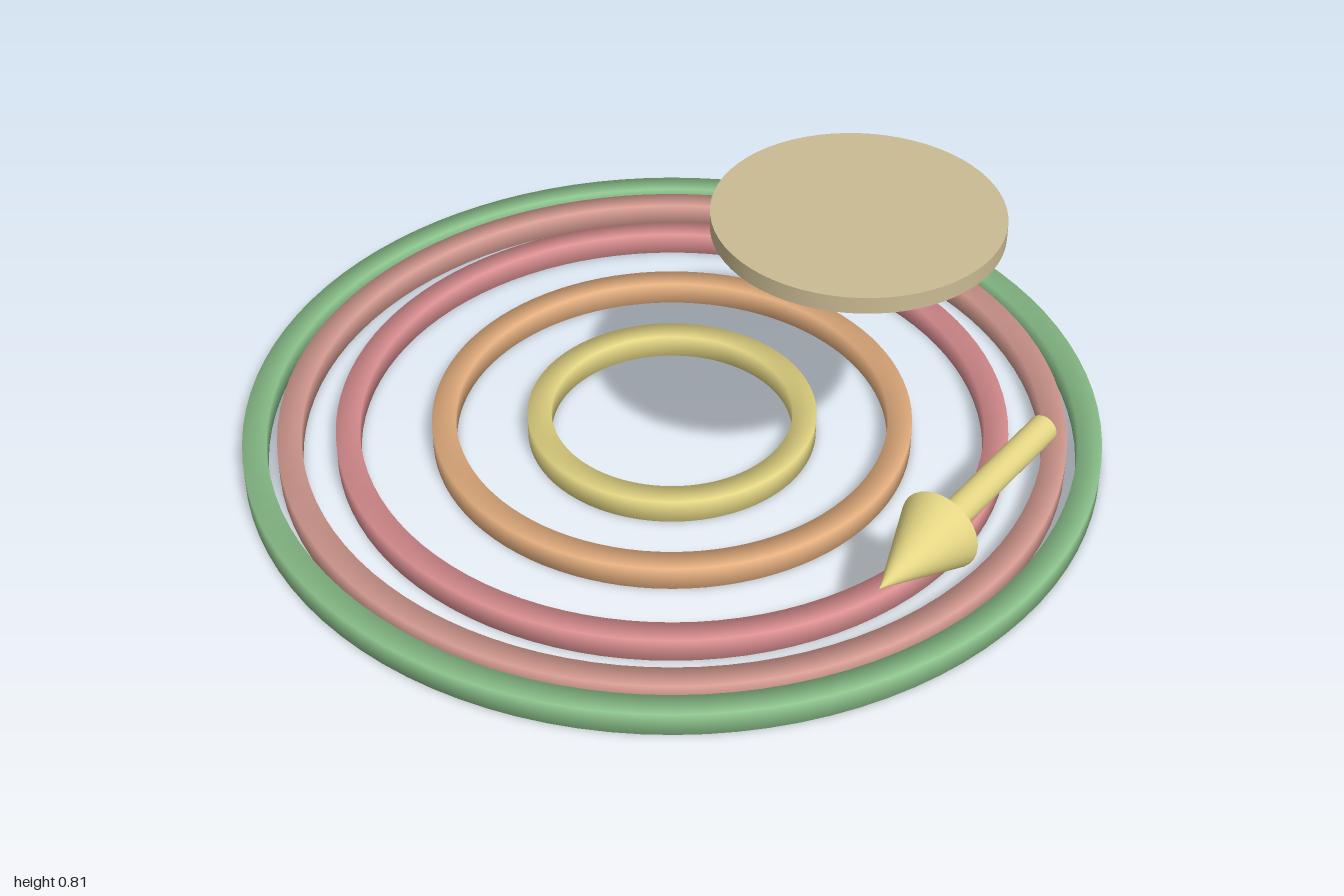
import * as THREE from 'three';

const material = (color) => new THREE.MeshStandardMaterial({ color });

export function createModel() {
  const group = new THREE.Group();
  const add = (name, geometry, color, x = 0, y = 0, z = 0) => {
    const mesh = new THREE.Mesh(geometry, material(color));
    mesh.name = name;
    mesh.position.set(x, y, z);
    group.add(mesh);
    return mesh;
  };

  // Concentric ground rings: square section with softly blended normals
  const half = 0.028;
  const height = 0.057;
  const rings = [
    ['outerRing', 0.972, 0x8cc28c],
    ['secondRing', 0.892, 0xd69c92],
    ['thirdRing', 0.757, 0xdc9092],
    ['fourthRing', 0.534, 0xe6b080],
    ['innerRing', 0.311, 0xe4d684],
  ];
  for (const [name, radius, color] of rings) {
    const profile = [
      [0, 0], [half, 0], [half, height], [-half, height], [-half, 0], [0, 0],
    ].map(([dx, y]) => new THREE.Vector2(radius + dx, y));
    add(name, new THREE.LatheGeometry(profile, 96), color);
  }

  // Floating disc
  add('disc', new THREE.CylinderGeometry(0.309, 0.309, 0.038, 64), 0xcabb93, 0, 0.789, 0.487);

  // Arrow pointing to the model's right
  const arrowY = 0.227;
  const arrowZ = 0.828;
  const yellow = 0xe4d684;
  const shaft = add('arrowShaft', new THREE.CylinderGeometry(0.033, 0.033, 0.43, 32), yellow, 0.055, arrowY, arrowZ);
  const head = add('arrowHead', new THREE.ConeGeometry(0.094, 0.23, 32), yellow, -0.275, arrowY, arrowZ);
  shaft.rotation.z = head.rotation.z = Math.PI / 2;

  return group;
}
